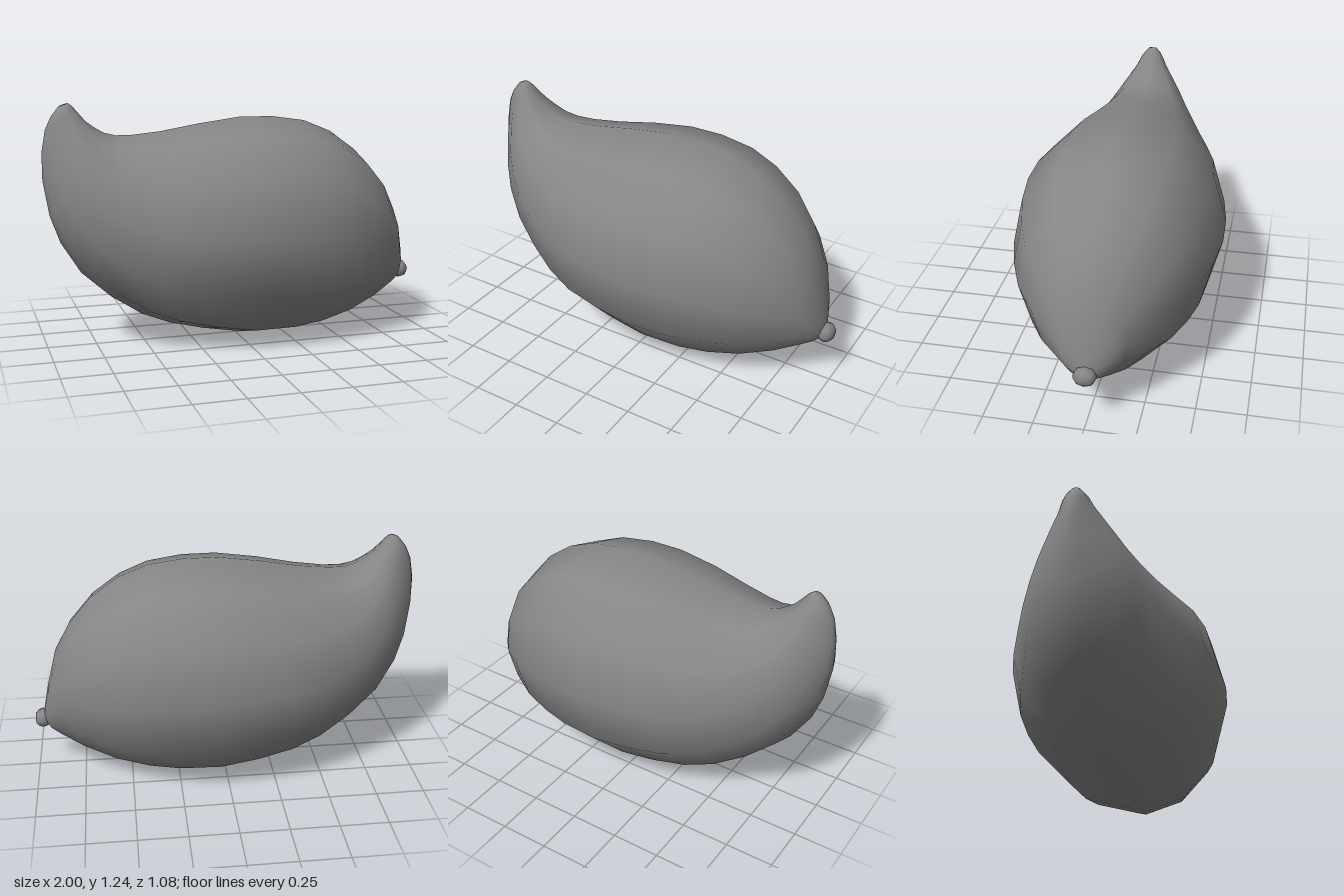
import * as THREE from 'three';

const SIDES = 12;

// Each station: top x, top y, bottom x, bottom y, half width, narrowing toward the bottom
const stations = [
  [0.95, 0.34, 0.935, 0.25, 0.045, 0],
  [0.92, 0.49, 0.91, 0.23, 0.12, 0],
  [0.87, 0.68, 0.87, 0.205, 0.19, 0],
  [0.79, 0.83, 0.74, 0.135, 0.30, 0],
  [0.67, 0.97, 0.57, 0.065, 0.405, 0],
  [0.53, 1.07, 0.40, 0.02, 0.47, 0],
  [0.38, 1.13, 0.24, 0, 0.515, 0],
  [0.20, 1.155, 0.02, 0, 0.54, 0],
  [0.02, 1.155, -0.18, 0.035, 0.535, 0],
  [-0.20, 1.125, -0.36, 0.08, 0.505, 0],
  [-0.40, 1.09, -0.51, 0.14, 0.44, 0],
  [-0.55, 1.075, -0.67, 0.245, 0.365, 0],
  [-0.63, 1.075, -0.82, 0.38, 0.31, 0.05],
  [-0.69, 1.09, -0.92, 0.54, 0.255, 0.1],
  [-0.74, 1.12, -0.97, 0.68, 0.21, 0.2],
  [-0.78, 1.15, -1.00, 0.86, 0.16, 0.4],
  [-0.81, 1.185, -1.00, 1.00, 0.11, 0.5],
  [-0.835, 1.215, -0.98, 1.11, 0.075, 0.4],
  [-0.85, 1.23, -0.95, 1.175, 0.045, 0.2],
  [-0.865, 1.24, -0.91, 1.225, 0.02, 0],
];

// Skin of oval rings, closed by a fan at each end
function loftBody() {
  const pos = [], index = [];
  for (const [tx, ty, bx, by, w, pinch] of stations) {
    for (let k = 0; k < SIDES; k++) {
      const a = (k / SIDES) * Math.PI * 2;
      const c = Math.cos(a) / 2;
      const z = w * Math.sin(a) * (1 - pinch * (0.5 - c));
      pos.push((tx + bx) / 2 + (tx - bx) * c, (ty + by) / 2 + (ty - by) * c, z);
    }
  }
  const last = (stations.length - 1) * SIDES;
  for (const [tx, ty, bx, by] of [stations[0], stations.at(-1)]) {
    pos.push((tx + bx) / 2, (ty + by) / 2, 0);
  }
  const startCap = last + SIDES, endCap = startCap + 1;
  for (let k = 0; k < SIDES; k++) {
    const n = (k + 1) % SIDES;
    for (let r = 0; r < last; r += SIDES) {
      const a = r + k, b = r + n, c = a + SIDES, d = b + SIDES;
      index.push(a, c, b, b, c, d);
    }
    index.push(startCap, k, n, endCap, last + n, last + k);
  }
  const geo = new THREE.BufferGeometry();
  geo.setAttribute('position', new THREE.Float32BufferAttribute(pos, 3));
  geo.setIndex(index);
  geo.computeVertexNormals();
  return geo;
}

export function createModel() {
  const group = new THREE.Group();
  group.name = 'fruit';
  const material = new THREE.MeshStandardMaterial({ color: 0x868686 });

  // Plump body with an upturned tip
  const body = new THREE.Mesh(loftBody(), material);
  body.name = 'body';
  group.add(body);

  // Small rounded stem at the low end
  const profile = [[0.036, 0], [0.047, 0.02], [0.05, 0.037], [0.044, 0.057], [0.026, 0.073], [0, 0.075]]
    .map(([r, y]) => new THREE.Vector2(r, y));
  const stem = new THREE.Mesh(new THREE.LatheGeometry(profile, 8), material);
  stem.name = 'stem';
  stem.position.set(0.925, 0.288, 0);
  stem.rotation.z = -1.6;
  stem.scale.z = 1.15;
  group.add(stem);

  return group;
}
